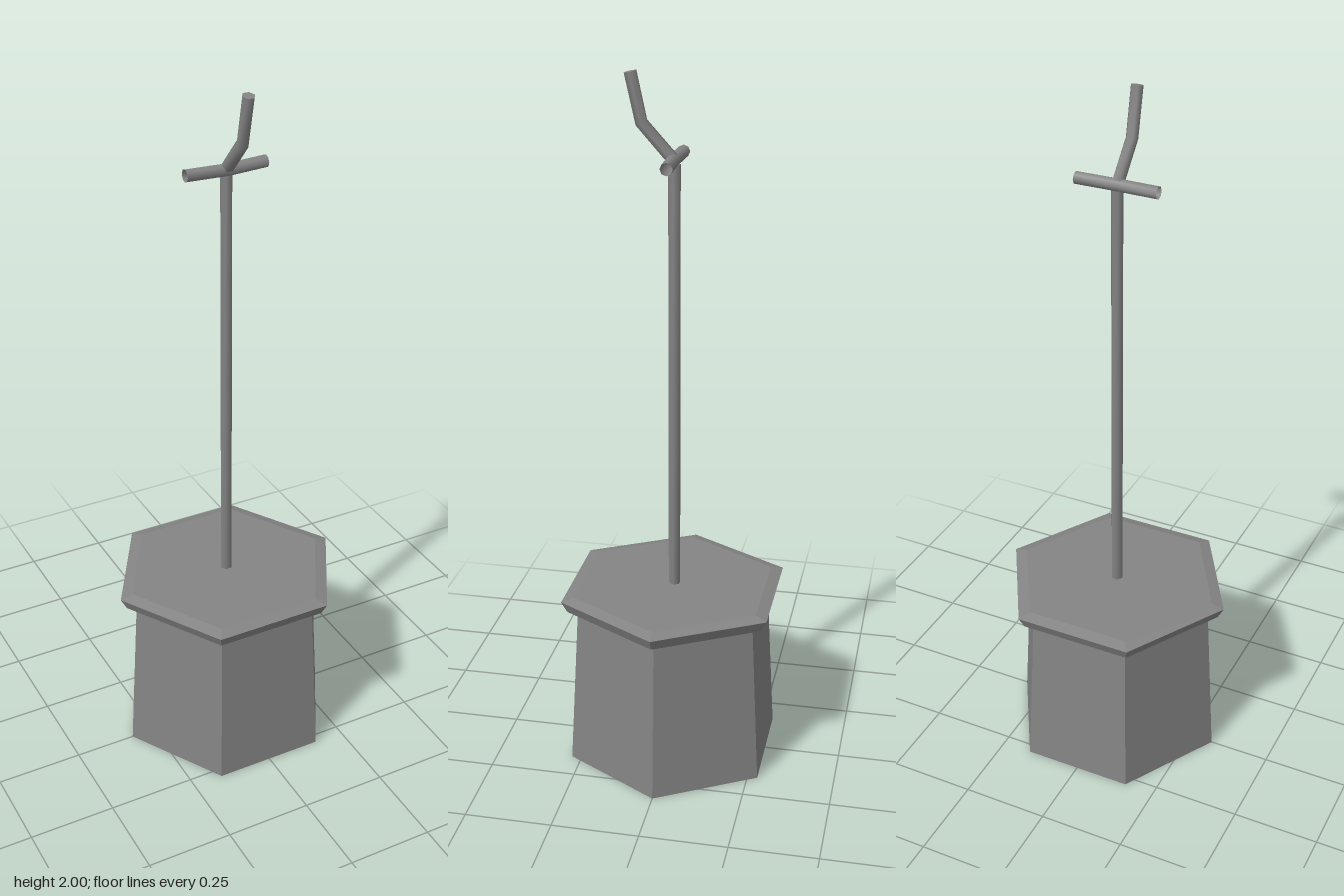
import * as THREE from 'three';

const material = new THREE.MeshStandardMaterial({ color: 0x848484, side: THREE.DoubleSide });
const flatMaterial = material.clone();
flatMaterial.flatShading = true;

const v = (x, y, z) => new THREE.Vector3(x, y, z);

// Six-sided turned shape with corners on the x axis
function hexLathe(name, profile) {
  const geometry = new THREE.LatheGeometry(profile.map(([r, y]) => new THREE.Vector2(r, y)), 6);
  geometry.rotateY(Math.PI / 6);
  const mesh = new THREE.Mesh(geometry, flatMaterial);
  mesh.name = name;
  return mesh;
}

// Smooth rod through a few points; corners of its section start along "side"
function rod(name, points, side, radius, sides) {
  const positions = [];
  const index = [];
  points.forEach((p, i) => {
    const before = points[Math.max(i - 1, 0)];
    const after = points[Math.min(i + 1, points.length - 1)];
    const tangent = after.clone().sub(before).normalize();
    const across = tangent.cross(side).normalize();
    for (let k = 0; k < sides; k++) {
      const a = (k / sides) * Math.PI * 2;
      const q = p.clone()
        .addScaledVector(side, radius * Math.cos(a))
        .addScaledVector(across, radius * Math.sin(a));
      positions.push(q.x, q.y, q.z);
      if (i > 0) {
        const c = i * sides + k;
        const d = i * sides + (k + 1) % sides;
        index.push(c - sides, d, d - sides, c - sides, c, d);
      }
    }
  });
  const geometry = new THREE.BufferGeometry();
  geometry.setAttribute('position', new THREE.Float32BufferAttribute(positions, 3));
  geometry.setIndex(index);
  geometry.computeVertexNormals();
  const mesh = new THREE.Mesh(geometry, material);
  mesh.name = name;
  return mesh;
}

export function createModel() {
  const model = new THREE.Group();
  model.name = 'pedestalWithHook';
  const xAxis = v(1, 0, 0);
  const zAxis = v(0, 0, 1);
  const radius = 0.0175;

  // Tapered base, open underneath, and its bevelled lid
  model.add(hexLathe('base', [[0.322, 0], [0.293, 0.488]]));
  model.add(hexLathe('lid', [[0.293, 0.488], [0.324, 0.488], [0.342, 0.522], [0.304, 0.531], [0, 0.531]]));

  // Upright pole
  model.add(rod('pole', [v(0, 0.531, 0), v(0, 1.76, 0)], xAxis, radius, 6));

  // Hollow crossbar, bent slightly forward and down in the middle
  model.add(rod('crossbar', [
    v(-0.117, 1.772, -0.002), v(0, 1.77, 0.004), v(0.117, 1.772, -0.002),
  ], zAxis, radius, 8));

  // Bent prong leaning to the front
  const tip = v(0, 1.998, 0.117);
  const bend = v(0, 1.867, 0.088);
  model.add(rod('prong', [v(0, 1.776, 0.006), bend, tip], xAxis, radius, 6));

  // Flat end of the prong
  const cap = new THREE.Mesh(new THREE.CircleGeometry(radius, 6), material);
  cap.name = 'prongCap';
  cap.position.copy(tip);
  cap.quaternion.setFromUnitVectors(zAxis, tip.clone().sub(bend).normalize());
  model.add(cap);

  return model;
}
